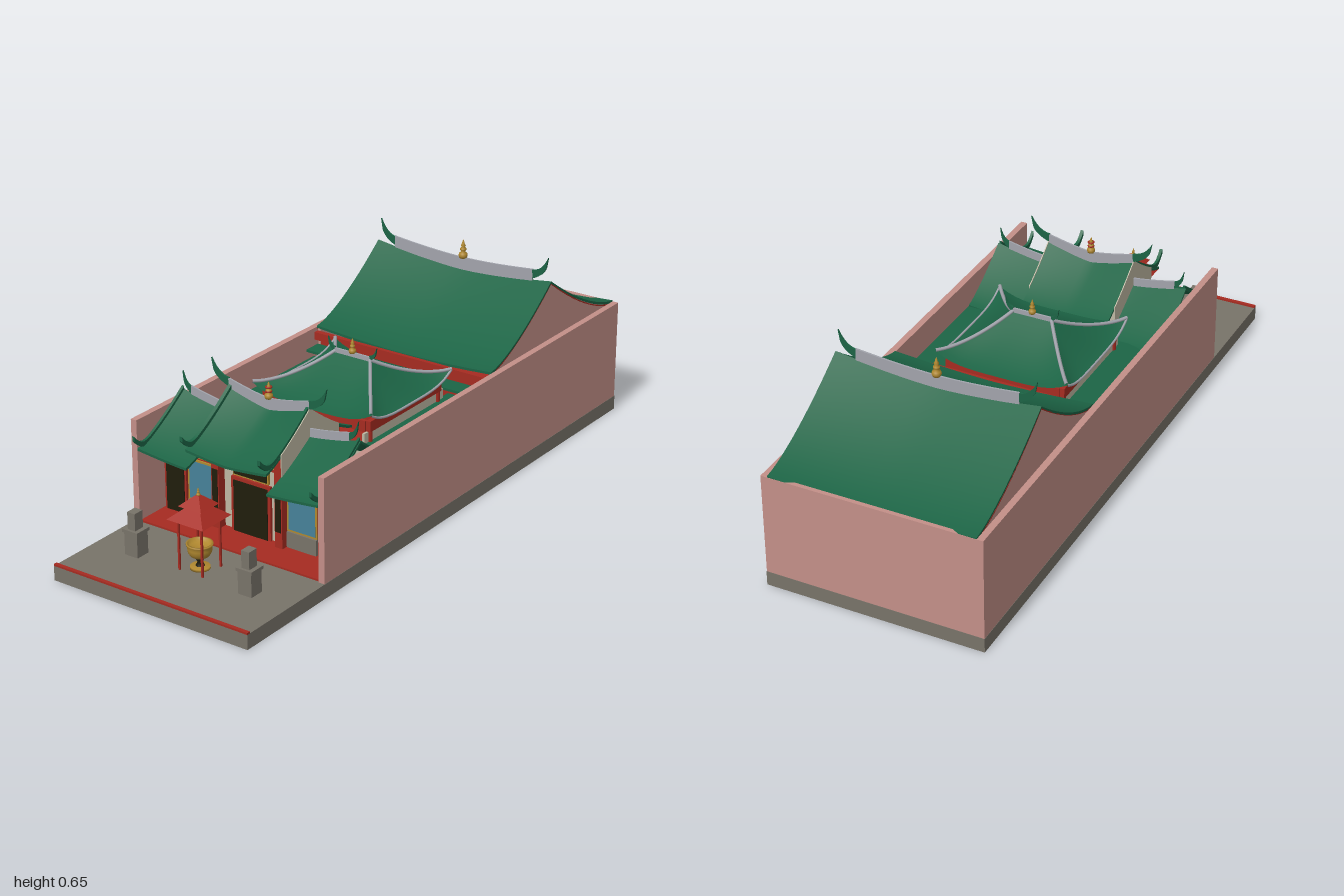
import * as THREE from 'three';

const mat = (name, color, side = THREE.FrontSide) => {
  const m = new THREE.MeshStandardMaterial({ color, side });
  m.name = name;
  return m;
};

export function createModel() {
  const root = new THREE.Group();
  root.name = 'temple';
  const green = mat('green roof tile', 0x1c6445, THREE.DoubleSide);
  const ridgeGrey = mat('ridge grey', 0xa2a4ac);
  const stone = mat('stone grey', 0x787369);
  const pink = mat('pink plaster', 0xc38f88);
  const cream = mat('cream plaster', 0xbfb8a3);
  const red = mat('red paint', 0xa62b21);
  const gold = mat('gold', 0xb0882f);
  const blue = mat('blue window', 0x478299);
  const dark = mat('dark opening', 0x201d0c);

  const add = (name, geo, m) => {
    const mesh = new THREE.Mesh(geo, m);
    mesh.name = name;
    root.add(mesh);
    return mesh;
  };
  // Box given by its limits on each axis
  const box = (name, m, x0, x1, y0, y1, z0, z1) =>
    add(name, new THREE.BoxGeometry(x1 - x0, y1 - y0, z1 - z0)
      .translate((x0 + x1) / 2, (y0 + y1) / 2, (z0 + z1) / 2), m);
  const pair = (name, m, x0, x1, ...r) => {
    box(name, m, x0, x1, ...r);
    box(name, m, -x1, -x0, ...r);
  };

  // A curved roof: height falls concavely from ridge to eave and sags along x
  const sag = (r, x) => Math.pow(Math.abs(Math.abs(x) - r.c) / r.s, r.q);
  const roofY = (r, x, v) => {
    const k = Math.pow(Math.max(0, 1 - v), r.p), g = sag(r, x);
    return r.ye + r.se * g + (r.yr + r.sr * g - r.ye - r.se * g) * k;
  };
  const slab = (name, m, r, x0, x1, ze, t, lift = 0, vMax = 1, curl = 0) => {
    const geo = new THREE.BoxGeometry(1, 1, 1, 16, 1, 16), p = geo.attributes.position;
    for (let i = 0; i < p.count; i++) {
      const x = x0 + (p.getX(i) + 0.5) * (x1 - x0);
      const v = (ze > r.z ? p.getZ(i) + 0.5 : 0.5 - p.getZ(i)) * vMax;
      const up = curl * Math.pow(Math.max(0, v - 0.8) / 0.3, 2);
      p.setXYZ(i, x, roofY(r, x, v) + lift + (p.getY(i) - 0.5) * t + up, r.z + (ze - r.z) * v);
    }
    geo.computeVertexNormals();
    return add(name, geo, m);
  };
  // Gable wall following the roof profile between zb and zf
  const gable = (name, m, r, x, thick, zf, zb, y0, rise, vMax) => {
    const pts = [[zb, y0]];
    for (let i = -16; i <= 16; i++) {
      const v = Math.abs(i) / 16;
      pts.push([r.z + ((i < 0 ? zb : zf) - r.z) * v, roofY(r, x, v * vMax) + rise]);
    }
    pts.push([zf, y0]);
    const shape = new THREE.Shape(pts.map(([z, y]) => new THREE.Vector2(-z, y)));
    const geo = new THREE.ExtrudeGeometry(shape, { depth: thick, bevelEnabled: false });
    add(name, geo.rotateY(Math.PI / 2).translate(x - thick / 2, 0, 0), m);
  };
  // Thin grey ridge crest that follows the sag
  const ridge = (name, r, x0, x1, h0, h1) => {
    const geo = new THREE.BoxGeometry(x1 - x0, 1, 0.006, 20, 1, 1).translate((x0 + x1) / 2, 0, 0);
    const p = geo.attributes.position;
    for (let i = 0; i < p.count; i++) {
      const x = p.getX(i), f = Math.abs(x) / Math.max(Math.abs(x0), Math.abs(x1));
      const h = h0 + (h1 - h0) * f;
      p.setXYZ(i, x, r.yr + r.sr * sag(r, x) + (p.getY(i) > 0 ? h : -0.004), r.z + p.getZ(i));
    }
    geo.computeVertexNormals();
    add(name, geo, ridgeGrey);
  };
  // Pointed, upswept horns on both ends of a ridge
  const horns = (x, y, z, sx, sy) => {
    const s = new THREE.Shape();
    s.moveTo(-0.002, 0.004);
    s.quadraticCurveTo(0.042, 0.022, 0.05, 0.052);
    s.lineTo(0.056, 0.087);
    s.quadraticCurveTo(0.034, 0.036, -0.002, 0.034);
    for (const d of [1, -1]) {
      const geo = new THREE.ExtrudeGeometry(s, { depth: 0.006, bevelEnabled: false, curveSegments: 6 });
      const horn = add('ridgeHorn', geo.translate(0, 0, -0.003).scale(sx, sy, 1), green);
      horn.position.set(d * x, y, z);
      if (d < 0) horn.rotation.y = Math.PI;
    }
  };
  const lathe = (name, m, pts, x, y, z, s = 1) => {
    const geo = new THREE.LatheGeometry(pts.map(([a, b]) => new THREE.Vector2(a * s, b * s)), 20);
    add(name, geo, m).position.set(x, y, z);
  };
  const finialPts = [[0, 0], [0.012, 0], [0.015, 0.008], [0.013, 0.016], [0.006, 0.021], [0.01, 0.027],
    [0.01, 0.032], [0.005, 0.036], [0.008, 0.042], [0.004, 0.049], [0.003, 0.055], [0, 0.062]];

  // Platform: raised floor slab inside a stone skirt
  box('platformFloor', stone, -0.351, 0.351, 0.022, 0.047, -0.999, 0.985);
  pair('platformSkirt', stone, 0.335, 0.352, 0, 0.047, 0.64, 0.985);
  pair('platformSkirt', stone, 0.351, 0.352, 0, 0.047, -1, 0.64);
  box('platformFront', stone, -0.352, 0.352, 0, 0.047, 0.985, 1);
  box('platformBack', stone, -0.351, 0.351, 0, 0.047, -1, -0.999);
  box('platformRedTrim', red, -0.352, 0.352, 0.047, 0.053, 0.988, 1);
  box('hallFloor', red, -0.33, 0.33, 0.047, 0.053, -0.98, 0.635);

  // Enclosing walls
  pair('sideWall', pink, 0.33, 0.351, 0, 0.38, -0.999, 0.64);
  box('backWall', pink, -0.33, 0.33, 0, 0.38, -0.999, -0.985);

  // Rear hall
  const rear = { z: -0.6, yr: 0.545, sr: 0.03, ye: 0.368, se: 0.016, c: 0, s: 0.33, q: 1.6, p: 1.45 };
  slab('rearRoofFront', green, rear, -0.33, 0.33, -0.258, 0.008);
  slab('rearRoofBack', green, rear, -0.33, 0.33, -0.998, 0.008);
  for (const d of [-1, 1]) {
    gable('rearGable', pink, rear, d * 0.3245, 0.0085, -0.262, -0.99, 0.3, -0.004, 1);
    const e = [d * 0.329 - 0.001, d * 0.329 + 0.001];
    slab('rearRoofRedTrim', red, rear, ...e, -0.258, 0.004, -0.006);
    slab('rearRoofRedTrim', red, rear, ...e, -0.985, 0.004, -0.006);
  }
  ridge('rearRidge', rear, -0.262, 0.262, 0.04, 0.036);
  horns(0.262, 0.566, -0.6, 1, 0.98);
  lathe('rearFinial', gold, finialPts, 0, 0.583, -0.6);
  box('rearFascia', red, -0.33, 0.33, 0.34, 0.366, -0.262, -0.244);
  box('rearHallFront', red, -0.33, 0.33, 0.047, 0.34, -0.28, -0.265);
  box('rearLowerEave', green, -0.33, 0.33, 0.312, 0.32, -0.262, -0.2);

  // Low flat roofs of the courtyard side corridors
  pair('corridorRoof', green, 0.185, 0.33, 0.277, 0.285, -0.24, 0.24);

  // Hipped courtyard pavilion
  const hipPoint = (ends, d, u, v) => {
    const y = 0.35 + 0.1 * Math.pow(1 - v, 1.4) + 0.035 * Math.pow(u, 4) * v * v;
    const hx = 0.065 + 0.155 * v, hz = 0.215 * v;
    return ends ? new THREE.Vector3(d * hx, y, 0.01 - d * u * hz)
      : new THREE.Vector3(d * u * hx, y, 0.01 + d * hz);
  };
  const trim = (name, fn, r) => {
    const pts = Array.from({ length: 13 }, (_, i) => fn(i / 12));
    add(name, new THREE.TubeGeometry(new THREE.CatmullRomCurve3(pts), 20, r, 6), ridgeGrey);
  };
  for (const d of [1, -1]) {
    for (const ends of [0, 1]) {
      const geo = new THREE.PlaneGeometry(2, 1, 16, 12), p = geo.attributes.position;
      for (let i = 0; i < p.count; i++) {
        const q = hipPoint(ends, d, p.getX(i), 0.5 - p.getY(i));
        p.setXYZ(i, q.x, q.y, q.z);
      }
      geo.computeVertexNormals();
      add('pavilionRoof', geo, green);
    }
    trim('pavilionSideEave', (t) => hipPoint(1, d, t * 2 - 1, 1), 0.004);
    for (const u of [-1, 1]) {
      trim('pavilionHip', (t) => hipPoint(1, d, u, t).add(new THREE.Vector3(0, 0.003, 0)), 0.006);
      const post = add('pavilionPost', new THREE.CylinderGeometry(0.01, 0.01, 0.3, 10), red);
      post.position.set(d * 0.19, 0.197, 0.01 + u * 0.18);
    }
  }
  box('pavilionRidge', ridgeGrey, -0.065, 0.065, 0.44, 0.463, 0.007, 0.013);
  horns(0.065, 0.448, 0.01, 0.45, 0.55);
  lathe('pavilionFinial', gold, finialPts, 0, 0.46, 0.01, 0.8);
  pair('pavilionSideWall', cream, 0.185, 0.193, 0.27, 0.318, -0.2, 0.22);
  pair('pavilionSideBeam', red, 0.185, 0.2, 0.318, 0.352, -0.18, 0.2);
  for (const z of [-0.185, 0.193]) box('pavilionCrossBeam', red, -0.185, 0.185, 0.318, 0.352, z, z + 0.012);

  // Front hall roofs: raised centre and two lower wings
  const mid = { z: 0.43, yr: 0.427, sr: 0.035, ye: 0.322, se: 0.014, c: 0, s: 0.147, q: 1.3, p: 1.3 };
  const wing = { z: 0.43, yr: 0.379, sr: 0.032, ye: 0.275, se: 0.015, c: 0.147, s: 0.178, q: 1.3, p: 1.3 };
  for (const ze of [0.64, 0.22]) {
    slab('centreRoof', green, mid, -0.147, 0.147, ze, 0.008);
    slab('leftWingRoof', green, wing, 0.147, 0.329, ze, 0.008);
    slab('rightWingRoof', green, wing, -0.329, -0.147, ze, 0.008);
  }
  for (const d of [-1, 1]) {
    slab('centreBarge', green, mid, d * 0.141 - 0.005, d * 0.141 + 0.005, 0.64, 0.016, 0.012, 1.12, 0.035);
    slab('wingBarge', green, wing, d * 0.322 - 0.004, d * 0.322 + 0.004, 0.64, 0.016, 0.01, 1.12, 0.035);
    gable('centreGable', cream, mid, d * 0.1485, 0.003, 0.57, 0.29, 0.29, 0.004, 0.667);
  }
  ridge('centreRidge', mid, -0.147, 0.147, 0.035, 0.027);
  ridge('leftWingRidge', wing, 0.147, 0.29, 0.025, 0.025);
  ridge('rightWingRidge', wing, -0.29, -0.147, 0.025, 0.025);
  horns(0.147, 0.458, 0.43, 1.12, 0.94);
  horns(0.29, 0.4, 0.43, 0.55, 0.8);
  lathe('centreFinial', gold, finialPts, 0, 0.46, 0.43, 0.88);
  for (const y of [0.483, 0.496]) {
    const ring = add('finialRing', new THREE.TorusGeometry(0.008, 0.003, 8, 20), red);
    ring.rotation.x = Math.PI / 2;
    ring.position.set(0, y, 0.43);
  }

  // Front hall walls, set back behind a porch
  const F = 0.515;
  const onFront = (make, name, m, x0, x1, y0, y1, a, b) => make(name, m, x0, x1, y0, y1, F + a, F + b);
  onFront(box, 'facadeWall', cream, -0.33, 0.33, 0.047, 0.29, -0.02, 0);
  onFront(box, 'facadeCentreWall', cream, -0.147, 0.147, 0.29, 0.35, -0.02, 0);
  box('frontHallBackWall', cream, -0.33, 0.33, 0.047, 0.285, 0.25, 0.265);
  onFront(pair, 'facadePillar', red, 0.103, 0.13, 0.047, 0.33, 0, 0.03);
  onFront(pair, 'pillarPanel', dark, 0.106, 0.126, 0.105, 0.245, 0.03, 0.032);
  onFront(box, 'centreBeam', red, -0.103, 0.103, 0.283, 0.316, 0, 0.014);
  onFront(box, 'centreBeamStripe', gold, -0.103, 0.103, 0.294, 0.302, 0.014, 0.017);
  onFront(pair, 'wingBeam', red, 0.13, 0.33, 0.247, 0.266, 0, 0.012);
  onFront(pair, 'wingBeamStripe', gold, 0.13, 0.33, 0.253, 0.26, 0.012, 0.015);
  onFront(box, 'plaqueFrame', gold, -0.065, 0.065, 0.233, 0.279, 0, 0.008);
  onFront(box, 'plaque', dark, -0.061, 0.061, 0.238, 0.275, 0.008, 0.01);
  onFront(box, 'mainDoorFrame', red, -0.072, 0.072, 0.047, 0.228, 0, 0.009);
  onFront(box, 'mainDoor', dark, -0.062, 0.062, 0.047, 0.218, 0.009, 0.012);
  onFront(pair, 'sideDoorFrame', red, 0.243, 0.325, 0.047, 0.219, 0, 0.009);
  onFront(pair, 'sideDoor', dark, 0.25, 0.317, 0.047, 0.212, 0.009, 0.012);
  onFront(pair, 'windowFrame', gold, 0.13, 0.238, 0.105, 0.24, 0, 0.006);
  onFront(pair, 'windowPane', blue, 0.136, 0.232, 0.111, 0.234, 0.006, 0.007);
  onFront(pair, 'windowDado', stone, 0.131, 0.237, 0.047, 0.104, 0, 0.01);

  // Stone pedestals in the forecourt
  pair('pedestalBase', stone, 0.184, 0.232, 0.047, 0.12, 0.777, 0.825);
  pair('pedestalCap', stone, 0.18, 0.236, 0.12, 0.13, 0.773, 0.829);
  pair('pedestalStatue', stone, 0.194, 0.222, 0.13, 0.185, 0.785, 0.82);

  // Incense shelter with a two-tier roof
  const Z = 0.765;
  const tier = (name, half0, half1, y0, y1) => {
    const geo = new THREE.CylinderGeometry(half1 * Math.SQRT2, half0 * Math.SQRT2, y1 - y0, 4).toNonIndexed();
    geo.computeVertexNormals();
    add(name, geo.rotateY(Math.PI / 4).translate(0, (y0 + y1) / 2, Z), red);
  };
  tier('shelterLowerRoof', 0.066, 0.028, 0.21, 0.242);
  tier('shelterNeck', 0.027, 0.027, 0.242, 0.25);
  tier('shelterUpperRoof', 0.042, 0.006, 0.249, 0.28);
  lathe('shelterFinial', gold, finialPts, 0, 0.278, Z, 0.42);
  for (const dz of [-0.042, 0.042]) {
    pair('shelterPost', red, 0.039, 0.045, 0.047, 0.213, Z + dz - 0.003, Z + dz + 0.003);
  }

  // Incense burner
  lathe('burnerBowl', gold, [[0, 0], [0.016, 0.002], [0.028, 0.009], [0.035, 0.02], [0.037, 0.032], [0.036, 0.04],
    [0.04, 0.043], [0.04, 0.048], [0.034, 0.048], [0.03, 0.036], [0, 0.034]], 0, 0.08, Z);
  lathe('burnerFoot', gold, [[0, 0], [0.03, 0], [0.03, 0.008], [0, 0.01]], 0, 0.047, Z);
  lathe('burnerStem', dark, [[0.014, 0], [0.008, 0.012], [0.014, 0.028]], 0, 0.055, Z);
  return root;
}
